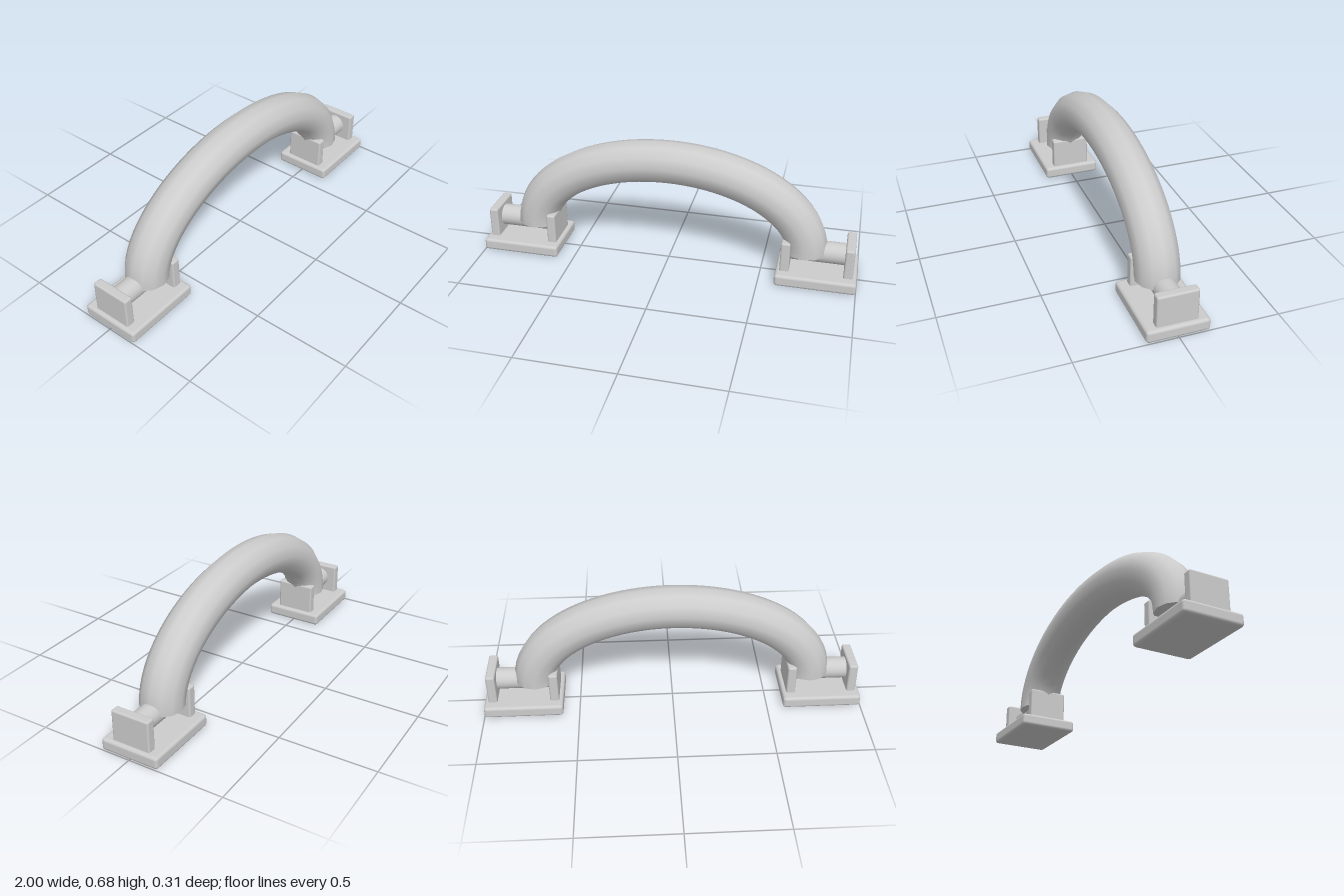
import * as THREE from 'three';
import { RoundedBoxGeometry } from 'three/addons/geometries/RoundedBoxGeometry.js';

const metal = new THREE.MeshStandardMaterial({ color: 0xcccccc });
metal.name = 'lightGrey';

function add(parent, name, geometry, x = 0, y = 0, z = 0) {
  const mesh = new THREE.Mesh(geometry, metal);
  mesh.name = name;
  mesh.position.set(x, y, z);
  parent.add(mesh);
  return mesh;
}

// Half-ellipse centreline of the grip
class Arch extends THREE.Curve {
  getPoint(t, target = new THREE.Vector3()) {
    const a = Math.PI * t;
    return target.set(0.728 * Math.cos(a), 0.147 + 0.423 * Math.sin(a), 0);
  }
}

export function createModel() {
  const model = new THREE.Group();
  model.name = 'handle';
  const pivotY = 0.147, gripRadius = 0.11;

  // Curved grip with flat ends
  add(model, 'grip', new THREE.TubeGeometry(new Arch(), 48, gripRadius, 12, false));

  for (const side of [1, -1]) {
    const bracket = new THREE.Group();
    bracket.name = side > 0 ? 'leftBracket' : 'rightBracket';
    model.add(bracket);

    const cap = add(model, 'gripEnd', new THREE.CircleGeometry(gripRadius, 12), side * 0.728, pivotY, 0);
    cap.rotation.x = Math.PI / 2;

    // Foot plate, two upright lugs and the pin between them
    add(bracket, 'footPlate', new RoundedBoxGeometry(0.415, 0.064, 0.312, 2, 0.016), side * 0.7925, 0.032, 0);
    for (const [name, x] of [['innerLug', 0.63], ['outerLug', 0.955]])
      add(bracket, name, new RoundedBoxGeometry(0.048, 0.185, 0.206, 2, 0.01), side * x, 0.1325, 0);
    const pin = add(bracket, 'pin', new THREE.CylinderGeometry(0.057, 0.057, 0.325, 24), side * 0.7925, pivotY, 0);
    pin.rotation.z = Math.PI / 2;
  }
  return model;
}
